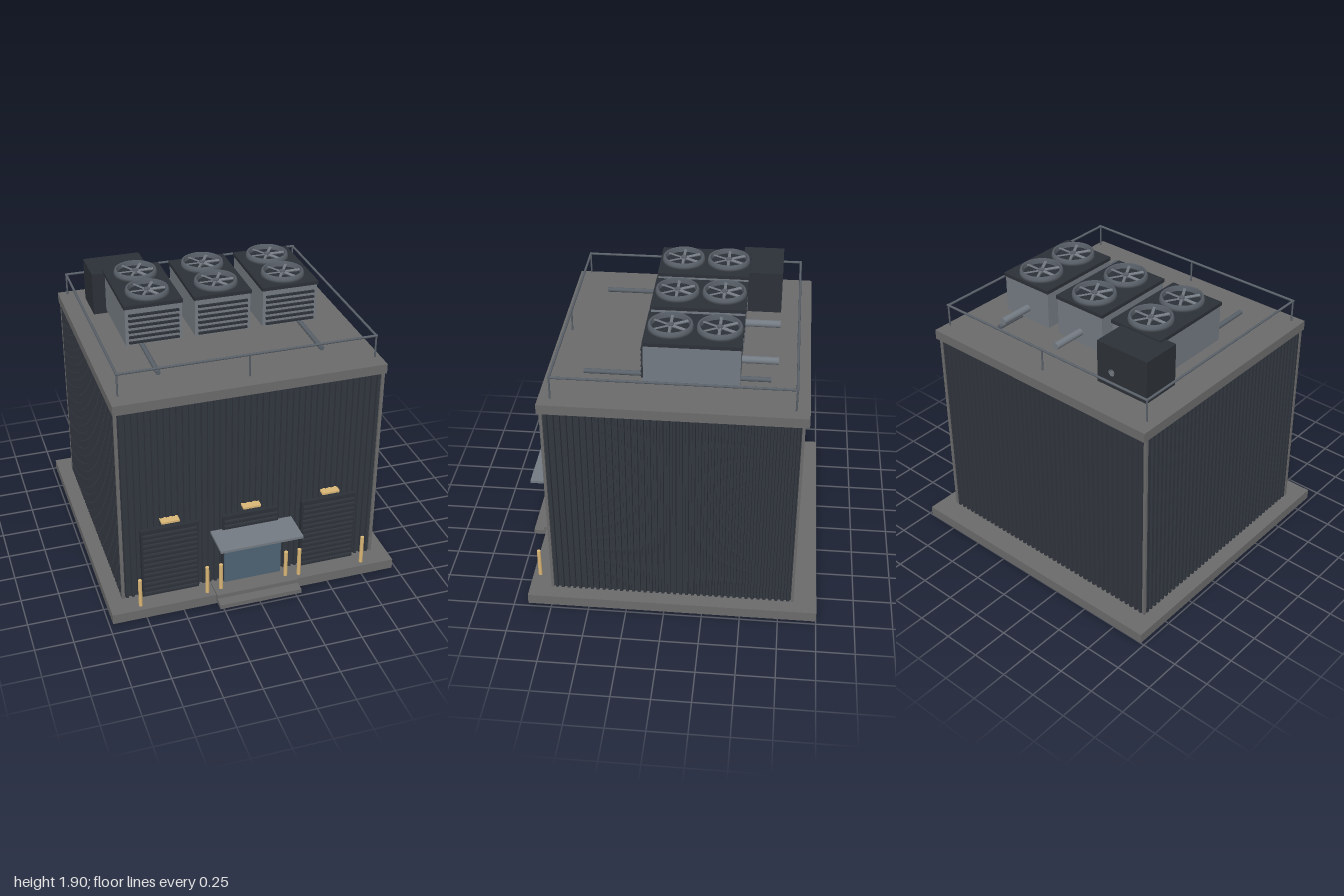
import * as THREE from 'three';

const mat = (color) => new THREE.MeshStandardMaterial({ color });
const concrete = mat(0x6b6b6b), cladding = mat(0x31363e), dark = mat(0x2c3138);
const steel = mat(0x737a82), pipeGrey = mat(0x596068), gold = mat(0xdab676), glass = mat(0x4e6473);

function add(parent, name, geometry, material, x = 0, y = 0, z = 0) {
  const mesh = new THREE.Mesh(geometry, material);
  mesh.name = name;
  mesh.position.set(x, y, z);
  parent.add(mesh);
  return mesh;
}

// Box given by its min and max on each axis
function box(parent, name, material, x0, x1, y0, y1, z0, z1) {
  return add(parent, name, new THREE.BoxGeometry(x1 - x0, y1 - y0, z1 - z0), material,
    (x0 + x1) / 2, (y0 + y1) / 2, (z0 + z1) / 2);
}

// Round bar between two points
function bar(parent, name, material, a, b, r, sides = 12) {
  const from = new THREE.Vector3(...a), to = new THREE.Vector3(...b);
  const dir = to.clone().sub(from);
  const mesh = add(parent, name, new THREE.CylinderGeometry(r, r, dir.length(), sides), material);
  mesh.position.copy(from).add(to).multiplyScalar(0.5);
  mesh.quaternion.setFromUnitVectors(new THREE.Vector3(0, 1, 0), dir.normalize());
  return mesh;
}

function group(parent, name, x = 0, y = 0, z = 0) {
  const g = new THREE.Group();
  g.name = name;
  g.position.set(x, y, z);
  parent.add(g);
  return g;
}

// Ribbed sheet facing +z, standing on y = 0, back at z = 0
function ribbedSheet(width, height, ribs, depth) {
  const p = width / ribs, x0 = -width / 2;
  const shape = new THREE.Shape();
  shape.moveTo(x0, 0);
  shape.lineTo(x0, -0.003);
  for (let i = 0; i < ribs; i++) {
    const x = x0 + i * p;
    shape.lineTo(x + p * 0.2, -0.003);
    shape.lineTo(x + p * 0.28, -depth);
    shape.lineTo(x + p * 0.72, -depth);
    shape.lineTo(x + p * 0.8, -0.003);
  }
  shape.lineTo(-x0, -0.003);
  shape.lineTo(-x0, 0);
  return new THREE.ExtrudeGeometry(shape, { depth: height, bevelEnabled: false }).rotateX(-Math.PI / 2);
}

function buildWalls(root) {
  const g = group(root, 'building', 0, 0, -0.0425);
  const hx = 0.86, hz = 0.79, y0 = 0.07, h = 1.395;
  box(g, 'core', concrete, -hx, hx, y0, y0 + h, -hz, hz);
  for (const side of [0, 1, 2, 3]) {
    const alongX = side % 2 === 0;
    const wall = group(g, 'wall');
    wall.rotation.y = side * Math.PI / 2;
    add(wall, 'ribbedCladding', ribbedSheet(2 * (alongX ? hx : hz), h, alongX ? 43 : 40, 0.018),
      cladding, 0, y0, alongX ? hz : hx);
  }
  for (const sx of [-1, 1]) for (const sz of [-1, 1])
    add(g, 'cornerTrim', new THREE.BoxGeometry(0.02, h, 0.018), concrete,
      sx * (hx + 0.009), y0 + h / 2, sz * (hz + 0.008));
  box(root, 'roofSlab', concrete, -0.885, 0.885, 1.465, 1.53, -0.875, 0.78);
}

// Shutter door with slats, lamp and a pair of bollards
function buildDoor(root, x) {
  const g = group(root, 'shutterDoor', x);
  box(g, 'shutter', dark, -0.19, 0.19, 0.07, 0.59, 0.74, 0.785);
  for (let i = 0; i < 13; i++)
    box(g, 'slat', cladding, -0.18, 0.18, 0.092 + i * 0.038, 0.104 + i * 0.038, 0.78, 0.797);
  box(g, 'lamp', gold, -0.06, 0.06, 0.642, 0.656, 0.76, 0.815);
  for (const s of [-1, 1])
    bar(g, 'bollard', gold, [s * 0.225, 0.07, 0.862], [s * 0.225, 0.275, 0.862], 0.013, 16);
}

function buildEntrance(root) {
  const g = group(root, 'entrance');
  box(g, 'doorFrame', dark, -0.205, 0.2, 0.07, 0.45, 0.76, 0.797);
  box(g, 'glassDoor', glass, -0.193, 0.197, 0.08, 0.42, 0.78, 0.812);
  box(g, 'canopy', steel, -0.278, 0.278, 0.47, 0.487, 0.77, 1);
  box(g, 'canopyLight', gold, -0.215, 0.215, 0.457, 0.47, 0.935, 0.95);
  box(g, 'lowerStep', concrete, -0.28, 0.28, 0.022, 0.053, 0.8, 1);
  box(g, 'upperStep', concrete, -0.28, 0.28, 0.053, 0.082, 0.78, 0.93);
}

function buildFan(parent, z) {
  const g = group(parent, 'fan', 0, 1.86, z);
  const profile = [[0.118, 0.004], [0.142, 0.004], [0.142, 0.022], [0.137, 0.04], [0.128, 0.045], [0.122, 0.04], [0.118, 0.004]];
  const ring = add(g, 'fanRing', new THREE.LatheGeometry(profile.map(([r, y]) => new THREE.Vector2(r, y)), 40), pipeGrey);
  ring.material = pipeGrey;
  add(g, 'fanWell', new THREE.CylinderGeometry(0.128, 0.135, 0.012, 40), dark, 0, 0.004, 0);
  add(g, 'fanHub', new THREE.CylinderGeometry(0.02, 0.02, 0.026, 16), pipeGrey, 0, 0.022, 0);
  for (let i = 0; i < 6; i++) {
    const arm = group(g, 'bladeArm');
    arm.rotation.y = i * Math.PI / 3;
    const blade = add(arm, 'blade', new THREE.BoxGeometry(0.11, 0.008, 0.018), steel, 0.068, 0.024, 0);
    blade.rotation.x = 0.35;
  }
}

function buildCooler(root, x) {
  const g = group(root, 'coolingUnit', x);
  box(g, 'casing', steel, -0.186, 0.186, 1.585, 1.838, -0.443, 0.152);
  box(g, 'topPlate', dark, -0.193, 0.193, 1.837, 1.861, -0.45, 0.157);
  for (let i = 0; i < 6; i++)
    box(g, 'louvre', dark, -0.165, 0.165, 1.598 + i * 0.038, 1.611 + i * 0.038, 0.145, 0.168);
  for (const z of [-0.303, 0]) buildFan(g, z);
  bar(g, 'rearDuct', steel, [0, 1.665, -0.67], [0, 1.665, -0.43], 0.024, 20);
}

function buildRailing(root) {
  const g = group(root, 'roofRailing');
  const x = 0.832, y = 1.698, zf = 0.698, zb = -0.79, r = 0.008;
  for (const z of [zf, zb]) {
    bar(g, 'rail', pipeGrey, [-x - r, y, z], [x + r, y, z], r);
    for (const px of [-x, 0, x]) bar(g, 'post', pipeGrey, [px, 1.55, z], [px, y, z], 0.006);
  }
  for (const s of [-x, x]) bar(g, 'rail', pipeGrey, [s, y, zb], [s, y, zf], r);
}

export function createModel() {
  const root = new THREE.Group();
  root.name = 'coolingBuilding';

  box(root, 'basePlinth', concrete, -0.975, 0.975, 0, 0.07, -1, 0.908);
  buildWalls(root);
  for (const i of [-1, 0, 1]) {
    buildDoor(root, -0.009 + i * 0.544);
    buildCooler(root, i * 0.458);
  }
  buildEntrance(root);
  buildRailing(root);

  // Rooftop cabinet and long pipes under the units
  box(root, 'controlCabinet', dark, -0.73, -0.345, 1.56, 1.85, -0.67, -0.4);
  for (const s of [-1, 1])
    bar(root, 'roofPipe', pipeGrey, [s * 0.537, 1.575, -0.63], [s * 0.537, 1.575, 0.537], 0.016, 16);

  return root;
}
